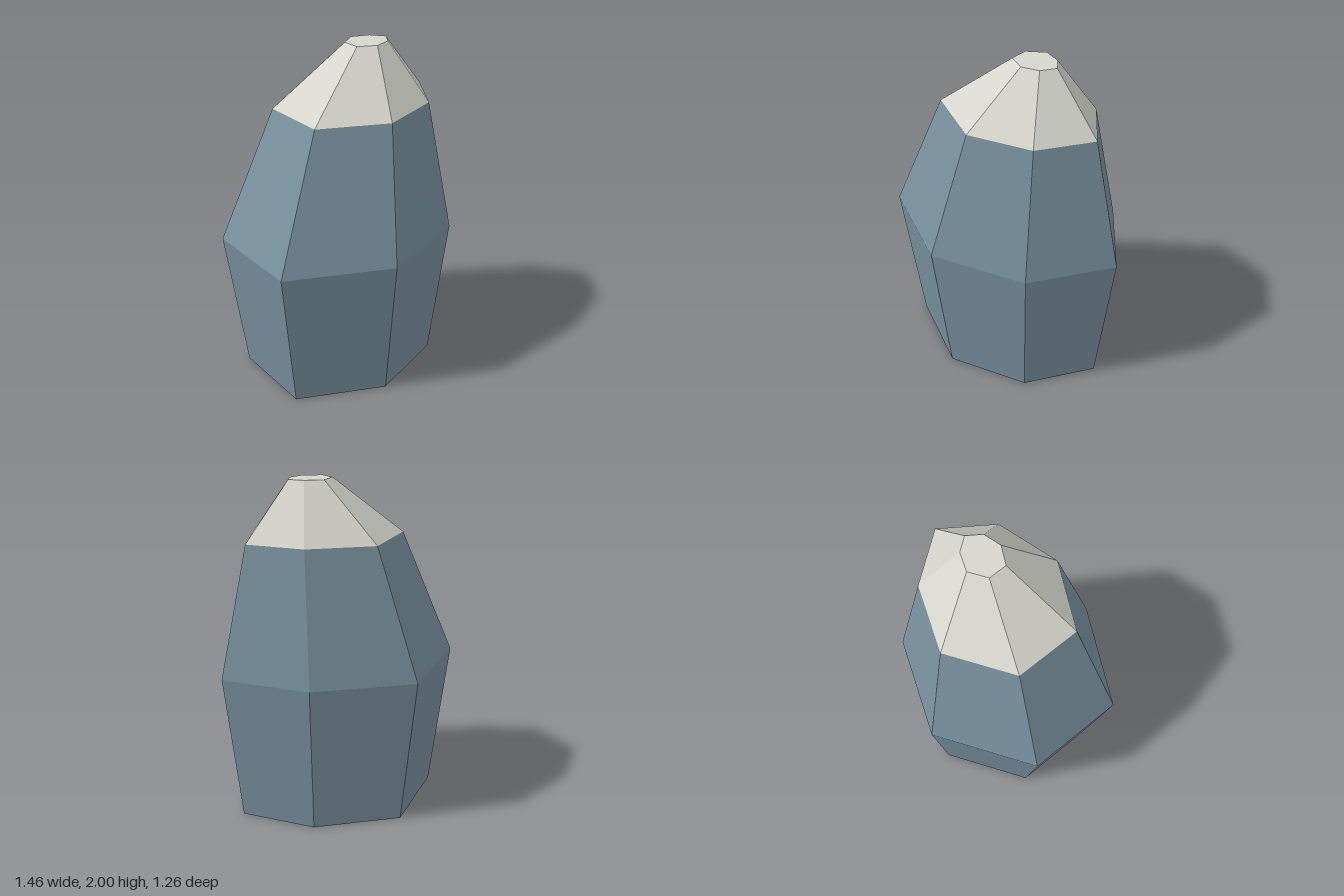
import * as THREE from 'three';

// Irregular seven-sided outline (x, z), shared by every level of the rock
const OUTLINE = [[0.73, 0.03], [0.42, 0.47], [-0.155, 0.627], [-0.73, 0.33],
  [-0.72, -0.27], [-0.17, -0.63], [0.41, -0.402]];

// Outline scaled and shifted at a given height
const ring = (y, scale, dx = 0, dz = 0) =>
  OUTLINE.map(([x, z]) => [x * scale + dx, y, z * scale + dz]);

// Faceted skin through a stack of rings, optionally closed at either end
function skin(rings, closeBottom, closeTop) {
  const pos = [];
  const tri = (...corners) => corners.forEach((c) => pos.push(...c));
  for (let r = 0; r < rings.length - 1; r++) {
    const a = rings[r], b = rings[r + 1];
    a.forEach((p, i) => {
      const j = (i + 1) % a.length;
      tri(p, b[i], b[j]);
      tri(p, b[j], a[j]);
    });
  }
  const bottom = rings[0], top = rings[rings.length - 1];
  for (let i = 1; i < OUTLINE.length - 1; i++) {
    if (closeBottom) tri(bottom[0], bottom[i], bottom[i + 1]);
    if (closeTop) tri(top[0], top[i + 1], top[i]);
  }
  const geo = new THREE.BufferGeometry();
  geo.setAttribute('position', new THREE.Float32BufferAttribute(pos, 3));
  geo.computeVertexNormals();
  return geo;
}

export function createModel() {
  const stone = new THREE.MeshStandardMaterial({ color: 0x78909e, flatShading: true });
  stone.name = 'blue grey stone';
  const snow = new THREE.MeshStandardMaterial({ color: 0xd6d6ce, flatShading: true });
  snow.name = 'pale snow';

  const foot = ring(0, 0.853);
  const waist = ring(0.9, 1);
  const shoulder = ring(1.665, 0.655, 0.072, 0.012);
  const tip = ring(2, 0.18, 0.139, 0.023);

  const group = new THREE.Group();
  group.name = 'rockSpire';

  // Rock body
  const body = new THREE.Mesh(skin([foot, waist, shoulder], true, false), stone);
  body.name = 'rockBody';

  // Snow cap with its flat tip
  const cap = new THREE.Mesh(skin([shoulder, tip], false, true), snow);
  cap.name = 'snowCap';

  group.add(body, cap);
  return group;
}
